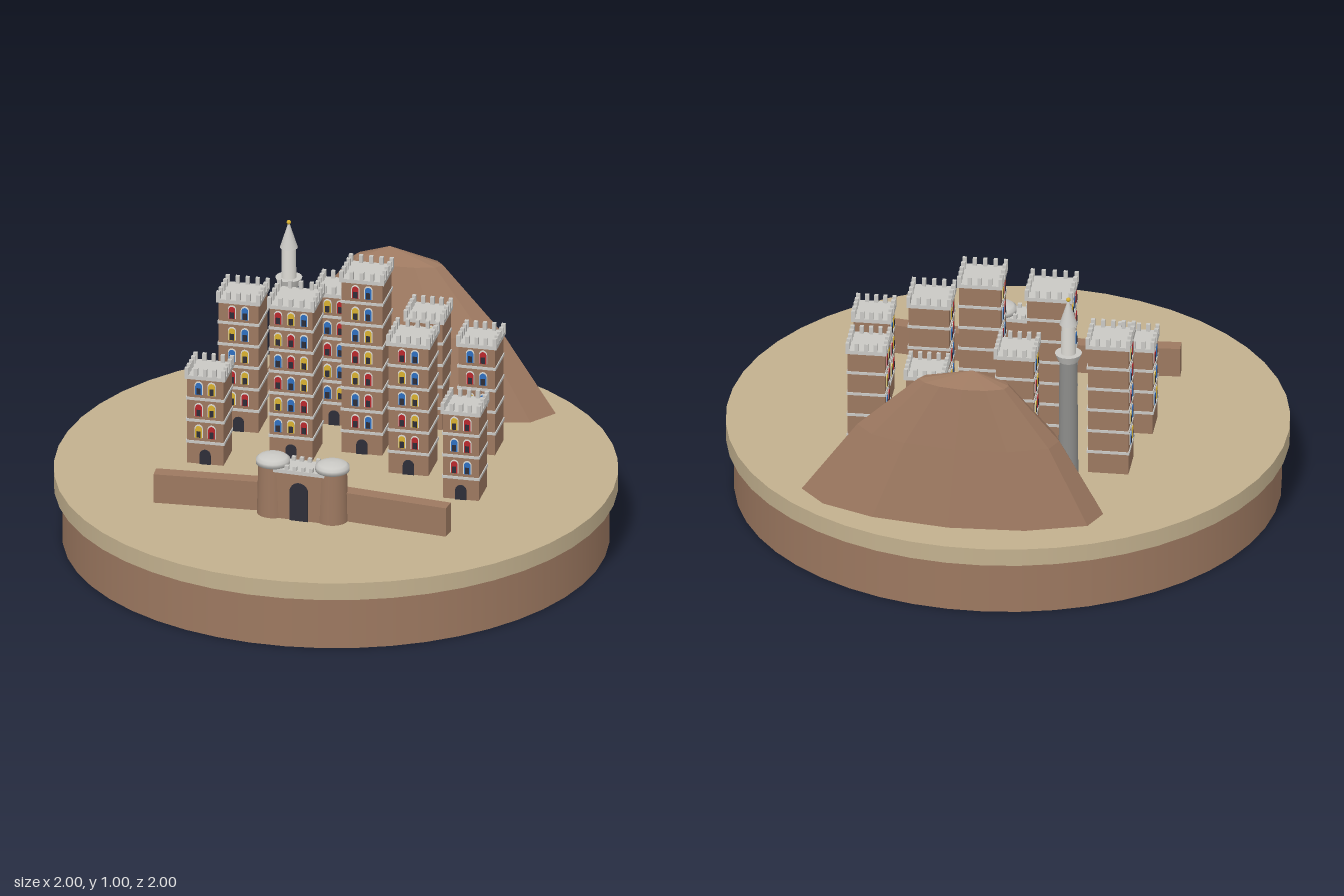
import * as THREE from 'three';

const mat = (name, color) => {
  const m = new THREE.MeshStandardMaterial({ color });
  m.name = name;
  return m;
};
const M = {
  brown: mat('brown stone', 0x9c7860),
  sand: mat('sand', 0xc2b08e),
  trim: mat('pale grey trim', 0xc9c8c4),
  white: mat('white plaster', 0xdcdad4),
  grey: mat('grey stone', 0x8c8c8a),
  dark: mat('dark opening', 0x2e2e38),
  blue: mat('blue glass', 0x2f6fc0),
  red: mat('red glass', 0xb8282c),
  gold: mat('gold', 0xd8b030),
};
M.rock = mat('rock', 0x9c7860);
M.rock.flatShading = true;

const GROUND = 0.265;
const FLOOR = 0.0836;

function add(parent, name, geo, material, x = 0, y = 0, z = 0) {
  const mesh = new THREE.Mesh(geo, material);
  mesh.name = name;
  mesh.position.set(x, y, z);
  parent.add(mesh);
  return mesh;
}

function group(parent, name, x = 0, y = 0, z = 0, turn = 0) {
  const g = new THREE.Group();
  g.name = name;
  g.position.set(x, y, z);
  g.rotation.y = turn;
  parent.add(g);
  return g;
}

const box = (w, h, d) => new THREE.BoxGeometry(w, h, d);

// Thin round-headed plate standing on y = 0
function archPlate(w, h, depth = 0.003) {
  const s = new THREE.Shape();
  s.moveTo(-w / 2, 0);
  s.lineTo(w / 2, 0);
  s.lineTo(w / 2, h - w / 2);
  s.absarc(0, h - w / 2, w / 2, 0, Math.PI, false);
  s.closePath();
  return new THREE.ExtrudeGeometry(s, { depth, bevelEnabled: false, curveSegments: 6 });
}

const frameGeo = archPlate(0.03, 0.051, 0.002);
const glassGeo = archPlate(0.024, 0.046, 0.004);
const openingGeo = box(0.015, 0.024, 0.003);
const merlonGeo = box(0.014, 0.03, 0.014);
const GLASS = [M.blue, M.red, M.gold];

function addWindow(parent, x, y, z, glass) {
  const w = group(parent, 'window', x, y, z);
  add(w, 'windowFrame', frameGeo, M.white);
  add(w, 'windowGlass', glassGeo, glass);
  add(w, 'windowOpening', openingGeo, M.dark, 0, 0.014, 0.004);
}

function addTower(parent, x, z, size, floors, columns, seed) {
  const t = group(parent, 'tower', x, GROUND, z, -0.3);
  const h = floors * FLOOR;
  add(t, 'towerBody', box(size, h, size), M.brown, 0, h / 2, 0);
  // Floor bands
  for (let i = 1; i < floors; i++)
    add(t, 'floorBand', box(size + 0.007, 0.01, size + 0.007), M.trim, 0, i * FLOOR, 0);
  // Roof slab and battlements
  const top = size + 0.014;
  add(t, 'roofSlab', box(top, 0.014, top), M.trim, 0, h, 0);
  const n = 5;
  for (let side = 0; side < 4; side++) {
    const edge = group(t, 'battlement', 0, h + 0.02, 0, side * Math.PI / 2);
    for (let i = 0; i < n - 1; i++)
      add(edge, 'merlon', merlonGeo, M.trim, (i / (n - 1) - 0.5) * (top - 0.014), 0, top / 2 - 0.007);
  }
  // Windows on the front and one flank, above the ground floor
  for (let side = 0; side < 2; side++) {
    const face = group(t, 'windowWall', 0, 0, 0, -side * Math.PI / 2);
    for (let f = 1; f < floors; f++)
      for (let c = 0; c < columns; c++)
        addWindow(face, (c - (columns - 1) / 2) * 0.047, f * FLOOR + 0.017, size / 2,
          GLASS[(seed + f * 2 + c * (f % 2 + 1) + side) % 3]);
  }
  add(t, 'towerDoor', archPlate(0.04, 0.056, 0.004), M.dark, 0, 0, size / 2);
}

// Faceted hill from shrinking copies of one outline
function hillGeometry() {
  const outline = [[-0.21, -0.775], [-0.14, -0.855], [0.085, -0.855], [0.35, -0.785], [0.6, -0.66], [0.755, -0.53],
    [0.81, -0.405], [0.715, -0.335], [0.47, -0.35], [0.19, -0.42], [-0.03, -0.53], [-0.2, -0.675]];
  // height, scale, centre x, centre z
  const rings = [[GROUND, 1, 0.3, -0.595], [0.55, 0.67, 0.283, -0.615], [0.77, 0.3, 0.27, -0.65], [0.82, 0, 0.24, -0.66]];
  const n = outline.length, pos = [], idx = [];
  for (const [y, k, cx, cz] of rings)
    for (const [x, z] of outline) pos.push(cx + (x - 0.3) * k, y, cz + (z + 0.595) * k);
  for (let r = 0; r < rings.length - 1; r++)
    for (let i = 0; i < n; i++) {
      const a = r * n + i, b = r * n + (i + 1) % n;
      idx.push(a, a + n, b);
      if (r < rings.length - 2) idx.push(b, a + n, b + n);
    }
  const g = new THREE.BufferGeometry();
  g.setAttribute('position', new THREE.Float32BufferAttribute(pos, 3));
  g.setIndex(idx);
  g.computeVertexNormals();
  return g;
}

// Straight wall between two ground points
function addWall(parent, x0, z0, x1, z1) {
  const len = Math.hypot(x1 - x0, z1 - z0);
  const wall = add(parent, 'cityWall', box(len, 0.11, 0.053), M.brown, (x0 + x1) / 2, GROUND + 0.055, (z0 + z1) / 2);
  wall.rotation.y = -Math.atan2(z1 - z0, x1 - x0);
}

function addGate(parent) {
  const g = group(parent, 'gate', -0.148, GROUND, 0.405, -0.37);
  add(g, 'gatehouse', box(0.2, 0.18, 0.09), M.brown, 0, 0.09, 0);
  add(g, 'gatehouseRoof', box(0.2, 0.014, 0.1), M.trim, 0, 0.185, 0);
  for (const x of [-0.045, -0.015, 0.015, 0.045])
    for (const z of [-0.042, 0.042]) add(g, 'merlon', box(0.014, 0.018, 0.014), M.trim, x, 0.198, z);
  add(g, 'gateDoor', archPlate(0.068, 0.145, 0.006), M.dark, 0, 0, 0.045);
  // Round flanking towers with shallow caps
  const cap = new THREE.LatheGeometry([[0, 0], [0.061, 0], [0.061, 0.016], [0.05, 0.025], [0.028, 0.031], [0, 0.033]]
    .map(([r, y]) => new THREE.Vector2(r, y)), 24);
  for (const s of [-1, 1]) {
    add(g, 'gateTower', new THREE.CylinderGeometry(0.052, 0.057, 0.195, 24), M.brown, s * 0.11, 0.0975, 0);
    add(g, 'gateTowerCap', cap, M.trim, s * 0.11, 0.192, 0);
  }
}

function addMinaret(parent) {
  const m = group(parent, 'minaret', -0.13, GROUND, -0.51);
  const cyl = (name, r0, r1, y0, y1, material) =>
    add(m, name, new THREE.CylinderGeometry(r1, r0, y1 - y0, 20), material, 0, (y0 + y1) / 2, 0);
  cyl('minaretShaft', 0.036, 0.032, 0, 0.49, M.grey);
  cyl('balcony', 0.036, 0.048, 0.485, 0.515, M.trim);
  cyl('upperShaft', 0.027, 0.025, 0.51, 0.635, M.white);
  cyl('spire', 0.032, 0.002, 0.63, 0.725, M.trim);
  add(m, 'finial', new THREE.SphereGeometry(0.008, 10, 8), M.gold, 0, 0.727, 0);
}

export function createModel() {
  const root = new THREE.Group();
  root.name = 'walledCity';

  // Round display base
  add(root, 'basePlinth', new THREE.CylinderGeometry(0.97, 0.97, 0.2, 48), M.brown, 0, 0.1, 0);
  add(root, 'sandDisc', new THREE.CylinderGeometry(1, 1, 0.065, 48), M.sand, 0, 0.2325, 0);

  add(root, 'hill', hillGeometry(), M.rock);

  // x, z, width, floors, window columns
  [
    [-0.3, -0.405, 0.145, 6, 2], [0.04, -0.43, 0.135, 6, 2], [0.355, -0.375, 0.133, 5, 2],
    [-0.44, -0.125, 0.133, 4, 2], [-0.13, -0.16, 0.157, 7, 3], [0.122, -0.18, 0.148, 8, 2],
    [0.273, 0.01, 0.145, 6, 2], [0.525, -0.145, 0.133, 5, 2], [0.44, 0.245, 0.13, 4, 2],
  ].forEach((t, i) => addTower(root, ...t, i));

  addMinaret(root);
  addGate(root);
  addWall(root, -0.66, 0.23, -0.25, 0.335);
  addWall(root, -0.045, 0.415, 0.355, 0.6);
  return root;
}
